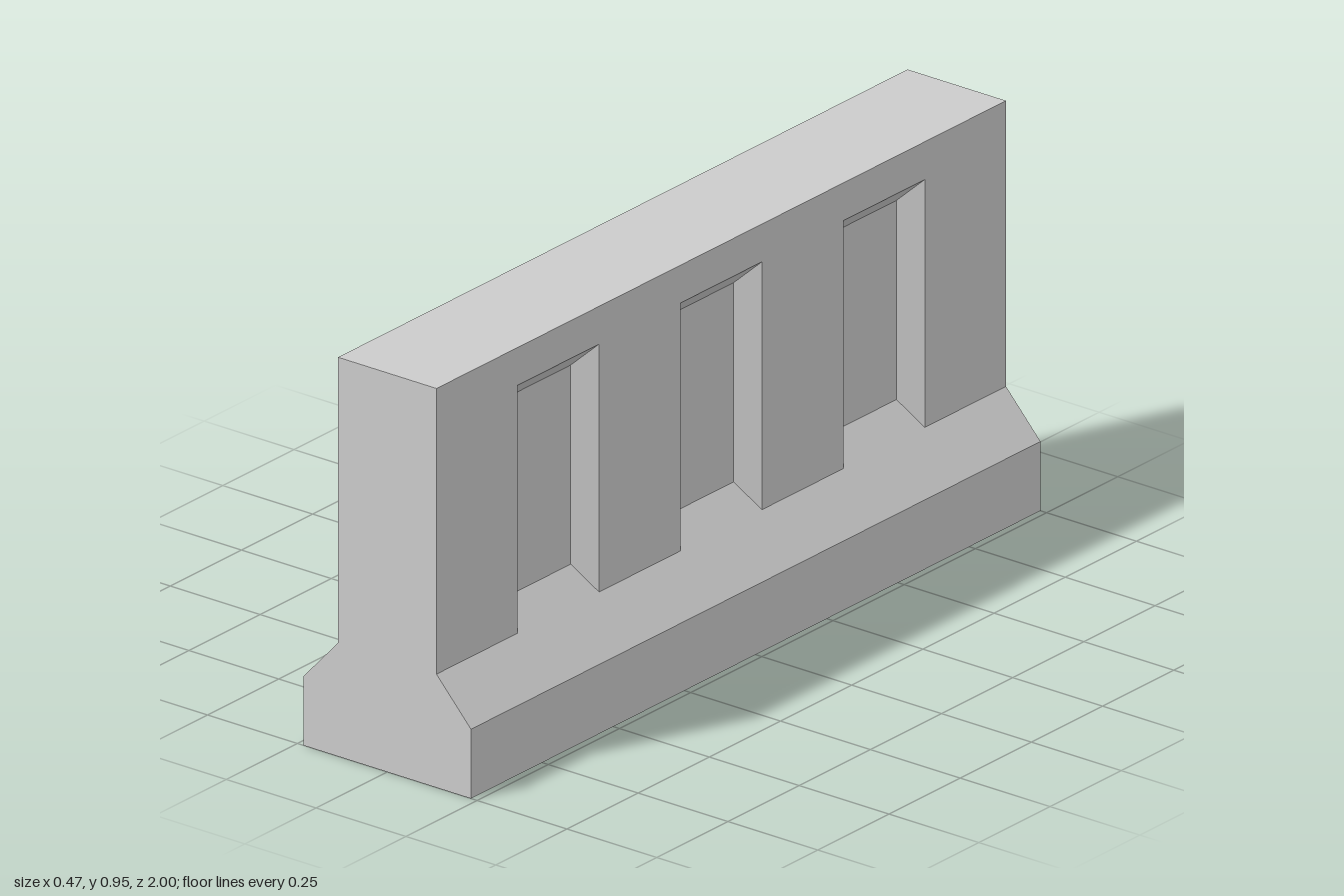
import * as THREE from 'three';

const L = 1;                        // half length
const BASE_W = 0.233, WALL_W = 0.137; // half widths
const BASE_H = 0.165, SLOPE_H = 0.27, TOP = 0.95;
const DEPTH = 0.056;                // recess depth
const CENTRES = [-0.572, 0, 0.572];
const OPEN = { half: 0.143, low: SLOPE_H, high: 0.86 };
const INNER = { half: 0.114, low: 0.331, high: 0.805 };

const material = new THREE.MeshStandardMaterial({ color: 0xcccccc, flatShading: true });

function addMesh(parent, geometry, name) {
  const mesh = new THREE.Mesh(geometry, material);
  mesh.name = name;
  parent.add(mesh);
  return mesh;
}

// Flat four-cornered faces, corners counter-clockwise from outside
function quads(list) {
  const points = list.flatMap(([a, b, c, d]) => [a, b, c, a, c, d]);
  const geometry = new THREE.BufferGeometry();
  geometry.setAttribute('position', new THREE.Float32BufferAttribute(points.flat(), 3));
  geometry.computeVertexNormals();
  return geometry;
}

// Rectangle corners at distance w from the centre plane
function corners(centre, { half, low, high }, w) {
  return [
    [centre - half, low, w], [centre + half, low, w],
    [centre + half, high, w], [centre - half, high, w],
  ];
}

// One long side, built facing +z and turned into place
function createSide() {
  const side = new THREE.Group();

  // Plinth: upright band and sloped shoulder
  addMesh(side, quads([
    [[-L, 0, BASE_W], [L, 0, BASE_W], [L, BASE_H, BASE_W], [-L, BASE_H, BASE_W]],
    [[-L, BASE_H, BASE_W], [L, BASE_H, BASE_W], [L, SLOPE_H, WALL_W], [-L, SLOPE_H, WALL_W]],
  ]), 'plinthSide');

  // Wall face with notches open towards the shoulder
  const face = new THREE.Shape();
  face.moveTo(-L, SLOPE_H);
  for (const c of CENTRES) {
    face.lineTo(c - OPEN.half, OPEN.low);
    face.lineTo(c - OPEN.half, OPEN.high);
    face.lineTo(c + OPEN.half, OPEN.high);
    face.lineTo(c + OPEN.half, OPEN.low);
  }
  face.lineTo(L, SLOPE_H);
  face.lineTo(L, TOP);
  face.lineTo(-L, TOP);
  face.closePath();
  addMesh(side, new THREE.ShapeGeometry(face), 'wallFace').position.z = WALL_W;

  // Recesses: sunken panel with four splayed walls
  for (const c of CENTRES) {
    const outer = corners(c, OPEN, WALL_W);
    const inner = corners(c, INNER, WALL_W - DEPTH);
    const walls = outer.map((p, i) => {
      const j = (i + 1) % 4;
      return [p, outer[j], inner[j], inner[i]];
    });
    addMesh(side, quads([inner, ...walls]), 'recess');
  }
  return side;
}

export function createModel() {
  const model = new THREE.Group();
  model.name = 'barrierWall';

  // Two matching long sides
  for (const s of [1, -1]) {
    const side = createSide();
    side.name = s > 0 ? 'leftSide' : 'rightSide';
    side.rotation.y = s * Math.PI / 2;
    model.add(side);
  }

  // End faces
  const profile = new THREE.Shape([
    [-BASE_W, 0], [BASE_W, 0], [BASE_W, BASE_H], [WALL_W, SLOPE_H],
    [WALL_W, TOP], [-WALL_W, TOP], [-WALL_W, SLOPE_H], [-BASE_W, BASE_H],
  ].map(([x, y]) => new THREE.Vector2(x, y)));
  for (const s of [1, -1]) {
    const end = addMesh(model, new THREE.ShapeGeometry(profile), s > 0 ? 'frontEnd' : 'backEnd');
    end.position.z = s * L;
    end.rotation.y = s > 0 ? 0 : Math.PI;
  }

  // Top and underside
  const top = addMesh(model, new THREE.PlaneGeometry(2 * WALL_W, 2 * L), 'top');
  top.rotation.x = -Math.PI / 2;
  top.position.y = TOP;
  const underside = addMesh(model, new THREE.PlaneGeometry(2 * BASE_W, 2 * L), 'underside');
  underside.rotation.x = Math.PI / 2;

  return model;
}
